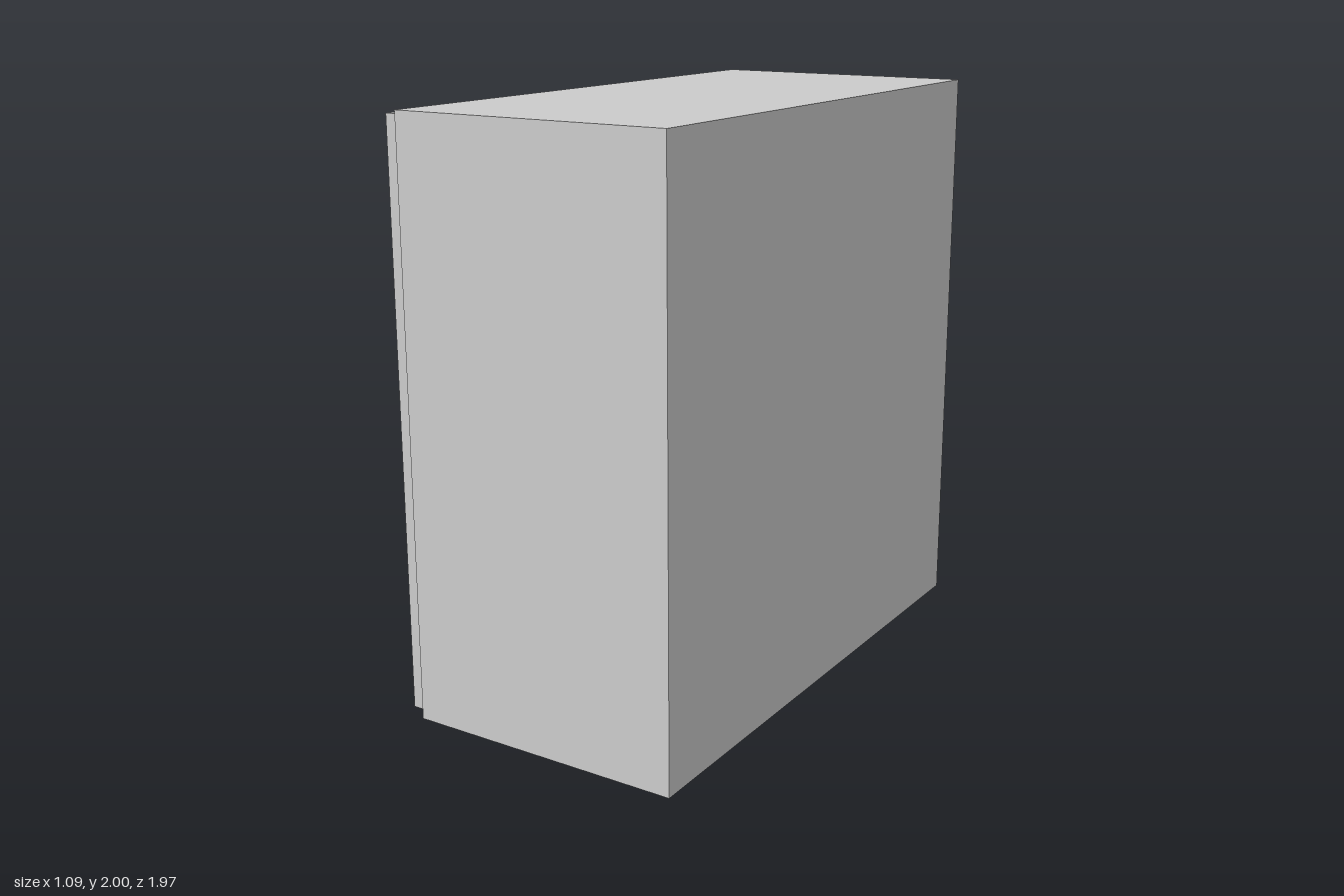
import * as THREE from 'three';

const material = new THREE.MeshStandardMaterial({ color: 0xcccccc });

// Box given by its lower and upper limits on each axis
function box(name, [x0, x1], [y0, y1], [z0, z1]) {
  const mesh = new THREE.Mesh(new THREE.BoxGeometry(x1 - x0, y1 - y0, z1 - z0), material);
  mesh.name = name;
  mesh.position.set((x0 + x1) / 2, (y0 + y1) / 2, (z0 + z1) / 2);
  return mesh;
}

// Rectangle outline for shapes and holes
function rectangle(path, x0, y0, x1, y1) {
  path.moveTo(x0, y0);
  path.lineTo(x1, y0);
  path.lineTo(x1, y1);
  path.lineTo(x0, y1);
  path.closePath();
  return path;
}

// Outline extruded in z, turned so that its depth runs from x0 along -x
function extruded(name, shape, depth, x0, z) {
  const geometry = new THREE.ExtrudeGeometry(shape, { depth, bevelEnabled: false });
  geometry.rotateY(-Math.PI / 2);
  const mesh = new THREE.Mesh(geometry, material);
  mesh.name = name;
  mesh.position.set(x0, 0, z);
  return mesh;
}

const DOOR = { back: -0.428, front: -0.487, bottom: 0.015, top: 1.985, width: 0.953, stile: 0.2, recess: 0.03 };

// Framed door with a recessed panel; z0 is its lower z edge
function createDoor(name, z0) {
  const { back, front, bottom, top, width, stile, recess } = DOOR;
  const door = new THREE.Group();
  door.name = name;
  const outline = rectangle(new THREE.Shape(), 0, bottom, width, top);
  outline.holes.push(rectangle(new THREE.Path(), stile, bottom + stile, width - stile, top - stile));
  door.add(extruded('doorFrame', outline, back - front, back, z0));
  door.add(box('doorPanel', [front + recess, back], [bottom + stile, top - stile], [z0 + stile, z0 + width - stile]));
  return door;
}

// Flat bar pull with two posts
function createHandle(name, z) {
  const handle = new THREE.Group();
  handle.name = name;
  const zs = [z - 0.015, z + 0.015];
  handle.add(box('handleBar', [-0.547, -0.532], [0.24, 0.595], zs));
  for (const y of [0.24, 0.58]) {
    handle.add(box('handlePost', [-0.532, DOOR.front], [y, y + 0.015], zs));
  }
  return handle;
}

export function createModel() {
  const cabinet = new THREE.Group();
  cabinet.name = 'wallCabinet';

  // Cabinet body
  cabinet.add(box('cabinetBody', [-0.425, 0.547], [0, 2], [-0.987, 0.987]));

  // Pair of doors and handles either side of the centre gap
  cabinet.add(createDoor('rearDoor', -0.005 - DOOR.width), createDoor('frontDoor', 0.005));
  cabinet.add(createHandle('rearHandle', -0.1), createHandle('frontHandle', 0.1));
  return cabinet;
}
